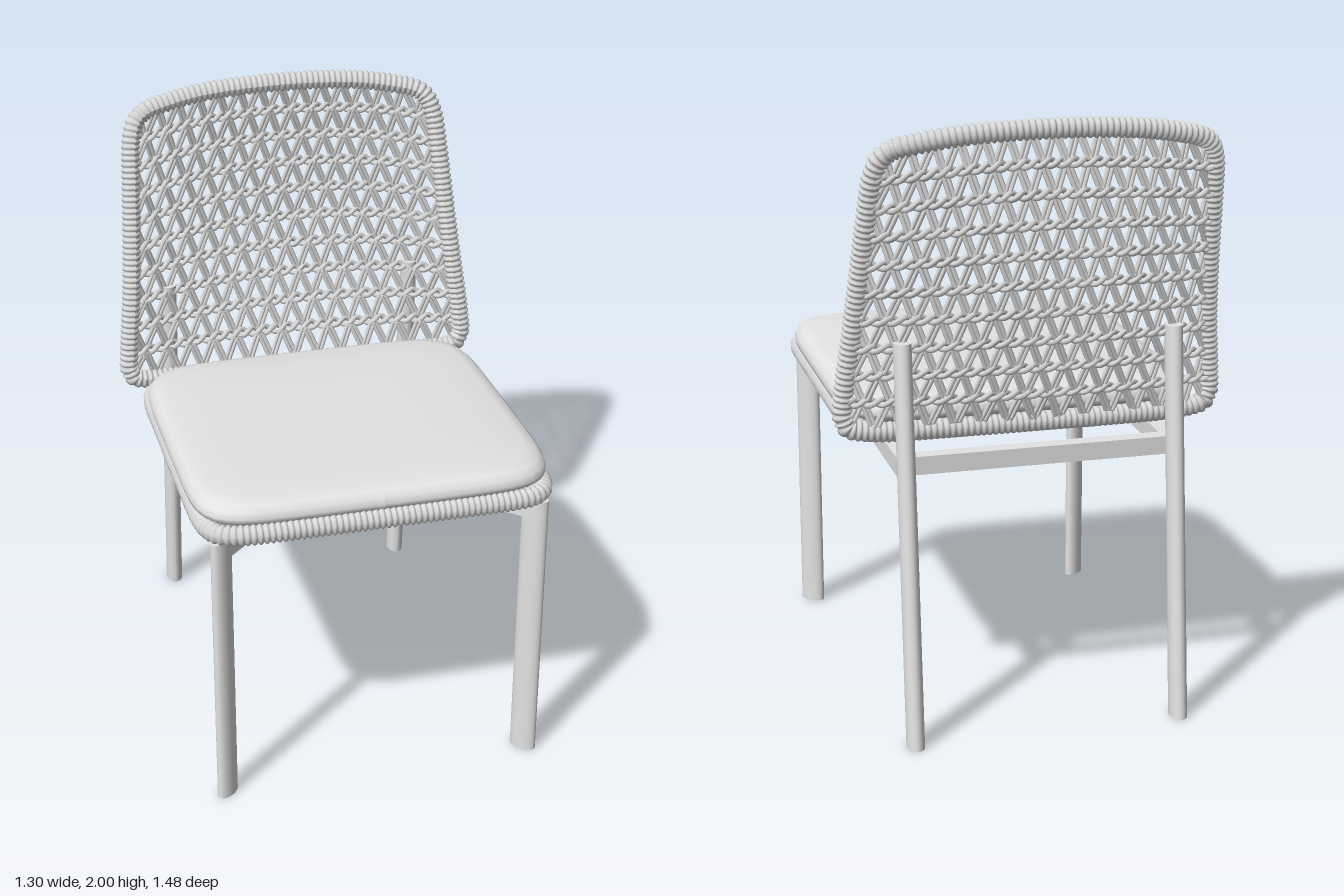
import * as THREE from 'three';

const frameMat = new THREE.MeshStandardMaterial({ color: 0xe3e3e3 });
frameMat.name = 'light grey';
const ropeMat = new THREE.MeshStandardMaterial({ color: 0xd8d8d8 });
ropeMat.name = 'rope grey';

function add(parent, name, geometry, material, x = 0, y = 0, z = 0) {
  const mesh = new THREE.Mesh(geometry, material);
  mesh.name = name;
  mesh.position.set(x, y, z);
  parent.add(mesh);
  return mesh;
}

function curveThrough(points, closed = false, tension = 0.5) {
  const curve = new THREE.CatmullRomCurve3(points, closed, 'catmullrom', tension);
  curve.arcLengthDivisions = 800;
  return curve;
}

// Tube swollen into a row of rope turns wound around it
function wrappedTube(curve, radius, bump, turns) {
  const perTurn = 5, sides = 10;
  const geo = new THREE.TubeGeometry(curve, turns * perTurn, radius, sides, true);
  const pos = geo.attributes.position, nor = geo.attributes.normal;
  for (let i = 0; i < pos.count; i++) {
    const ring = Math.floor(i / (sides + 1));
    const swell = bump * Math.abs(Math.sin((Math.PI * ring) / perTurn));
    pos.setXYZ(i, pos.getX(i) + nor.getX(i) * swell,
      pos.getY(i) + nor.getY(i) * swell, pos.getZ(i) + nor.getZ(i) * swell);
  }
  geo.computeVertexNormals();
  return geo;
}

// Distance from centre to a rounded-square outline
const squircle = (c, s, n) => Math.pow(Math.abs(c) ** n + Math.abs(s) ** n, -1 / n);

// Lathe stretched from a circle to a rounded square
function pad(profile, halfX, halfZ, n) {
  const geo = new THREE.LatheGeometry(profile.map(p => new THREE.Vector2(...p)), 112);
  const pos = geo.attributes.position;
  for (let i = 0; i < pos.count; i++) {
    const x = pos.getX(i), z = pos.getZ(i), r = Math.hypot(x, z);
    const f = r > 1e-6 ? squircle(x / r, z / r, n) : 1;
    pos.setX(i, x * f * halfX);
    pos.setZ(i, z * f * halfZ);
  }
  geo.computeVertexNormals();
  return geo;
}

// Curved surface of the backrest: depth at a given x and height
function backDepth(x, y) {
  const t = y - 1;
  const centre = -0.485 - 0.48 * t + 0.26 * t * t;
  const edge = -0.455 - 0.06 * t - 0.15 * t * t;
  return centre + (edge - centre) * Math.pow(Math.abs(x) / 0.6, 2.5);
}

// Point on the backrest: u runs -1..1 across, h is the height at the middle
function backPoint(u, h, dx = 0, dy = 0, dz = 0) {
  const t = h - 1;
  const x = u * (0.61 - 0.07 * t - 0.025 * t ** 4) + dx;
  const y = h - 0.055 * u * u * t + dy;
  return new THREE.Vector3(x, y, backDepth(x, y) + dz);
}

function buildSeat() {
  const seat = new THREE.Group();
  seat.name = 'seat';
  seat.position.set(0, 0.985, 0.14);
  seat.rotation.x = -0.033;

  add(seat, 'cushion', pad([[0, 0.015], [0.93, 0.015], [0.97, 0.025], [0.995, 0.04], [1, 0.055],
    [0.99, 0.075], [0.96, 0.093], [0.9, 0.105], [0.7, 0.111], [0.4, 0.112], [0, 0.112]],
    0.59, 0.567, 7), frameMat, 0, 0, 0.01);
  add(seat, 'seatPanel', pad([[0, -0.02], [0.95, -0.02], [0.98, -0.015], [0.98, 0.01],
    [0.95, 0.015], [0, 0.015]], 0.565, 0.57, 10), ropeMat);

  // Rope-wound rim
  const outline = [];
  for (let i = 0; i < 96; i++) {
    const a = (i / 96) * Math.PI * 2, c = Math.cos(a), s = Math.sin(a), f = squircle(c, s, 11);
    outline.push(new THREE.Vector3(c * f * 0.56, 0, s * f * 0.57));
  }
  add(seat, 'seatRim', wrappedTube(curveThrough(outline, true), 0.027, 0.008, 220), ropeMat, 0, 0.004, 0);

  // Woven knots under the panel
  const knot = new THREE.SphereGeometry(0.012, 8, 6);
  for (let r = 0; r < 12; r++) {
    for (let c = 0; c < 9; c++) {
      add(seat, 'seatKnot', knot, ropeMat, -0.38 + c * 0.09 + (r % 2) * 0.045, -0.021, -0.5 + r * 0.085);
    }
  }

  // Rails below the seat, with diagonal arms out to the front legs
  for (const side of [-1, 1]) {
    add(seat, 'sideRail', new THREE.BoxGeometry(0.055, 0.06, 1.16), frameMat, side * 0.442, -0.06, -0.14);
    const arm = add(seat, 'frontArm', new THREE.BoxGeometry(0.16, 0.06, 0.05), frameMat, side * 0.473, -0.06, 0.475);
    arm.rotation.y = -side * Math.PI / 4;
  }
  add(seat, 'frontRail', new THREE.BoxGeometry(0.88, 0.06, 0.05), frameMat, 0, -0.06, 0.415);
  add(seat, 'backRail', new THREE.BoxGeometry(0.86, 0.06, 0.05), frameMat, 0, -0.06, -0.7);
  return seat;
}

function buildBack() {
  const back = new THREE.Group();
  back.name = 'backrest';

  // Rope-wound rim
  const half = [[0.25, 1.957], [0.42, 1.932], [0.505, 1.905], [0.542, 1.84], [0.557, 1.7], [0.572, 1.5],
    [0.59, 1.3], [0.61, 1.12], [0.61, 1.03], [0.55, 0.99], [0.25, 0.985]];
  const loop = [[0, 1.966], ...half, [0, 0.985], ...half.map(([x, y]) => [-x, y]).reverse()];
  const rim = curveThrough(loop.map(([x, y]) => new THREE.Vector3(x, y, backDepth(x, y))), true);
  add(back, 'backRim', wrappedTube(rim, 0.026, 0.008, 205), ropeMat);

  const level = k => 1.0 + k * 0.096;
  // Twined horizontal cords
  for (let k = 1; k < 10; k++) {
    for (const phase of [0, Math.PI]) {
      const pts = [];
      for (let i = 0; i <= 112; i++) {
        const a = (i / 112) * Math.PI * 28 + phase;
        pts.push(backPoint(-1 + i / 56, level(k), 0, 0.011 * Math.sin(a), 0.01 * Math.cos(a) - 0.008));
      }
      add(back, 'crossCord', new THREE.TubeGeometry(curveThrough(pts), 168, 0.0095, 6), ropeMat);
    }
  }
  // Zigzag lacing between the cords, in doubled strands
  const legs = 28;
  for (let k = 0; k < 10; k++) {
    for (const s of [-1, 1]) {
      const pts = [];
      for (let j = 0; j <= legs; j++) {
        const up = (j + k) % 2;
        pts.push(backPoint((-1 + (2 * j) / legs) * 0.985, level(k + up), s * 0.007, 0, up ? 0.008 : -0.014));
      }
      add(back, 'lacing', new THREE.TubeGeometry(curveThrough(pts, false, 0.15), legs * 5, 0.0072, 6), ropeMat);
    }
  }
  return back;
}

// Raked oval back leg: a cylinder sheared backwards towards the floor
function backLegGeometry() {
  const height = 1.3;
  const geo = new THREE.CylinderGeometry(0.035, 0.045, height, 28, 1);
  const pos = geo.attributes.position;
  for (let i = 0; i < pos.count; i++) {
    const y = pos.getY(i) + height / 2, t = y / height;
    const squash = 0.029 / (0.045 - 0.01 * t);
    pos.setXYZ(i, pos.getX(i) * squash, y, pos.getZ(i) - 0.693 + 0.125 * t);
  }
  geo.computeVertexNormals();
  return geo;
}

export function createModel() {
  const chair = new THREE.Group();
  chair.name = 'chair';
  chair.add(buildSeat(), buildBack());
  for (const side of [-1, 1]) {
    // Flattened front leg, its long axis pointing out through the corner
    const leg = add(chair, 'frontLeg', new THREE.CylinderGeometry(1, 1, 0.98, 32), frameMat, side * 0.517, 0.49, 0.665);
    leg.scale.set(0.046, 1, 0.026);
    leg.rotation.y = -side * Math.PI / 4;
    add(chair, 'backLeg', backLegGeometry(), frameMat, side * 0.445, 0, 0);
  }
  return chair;
}
